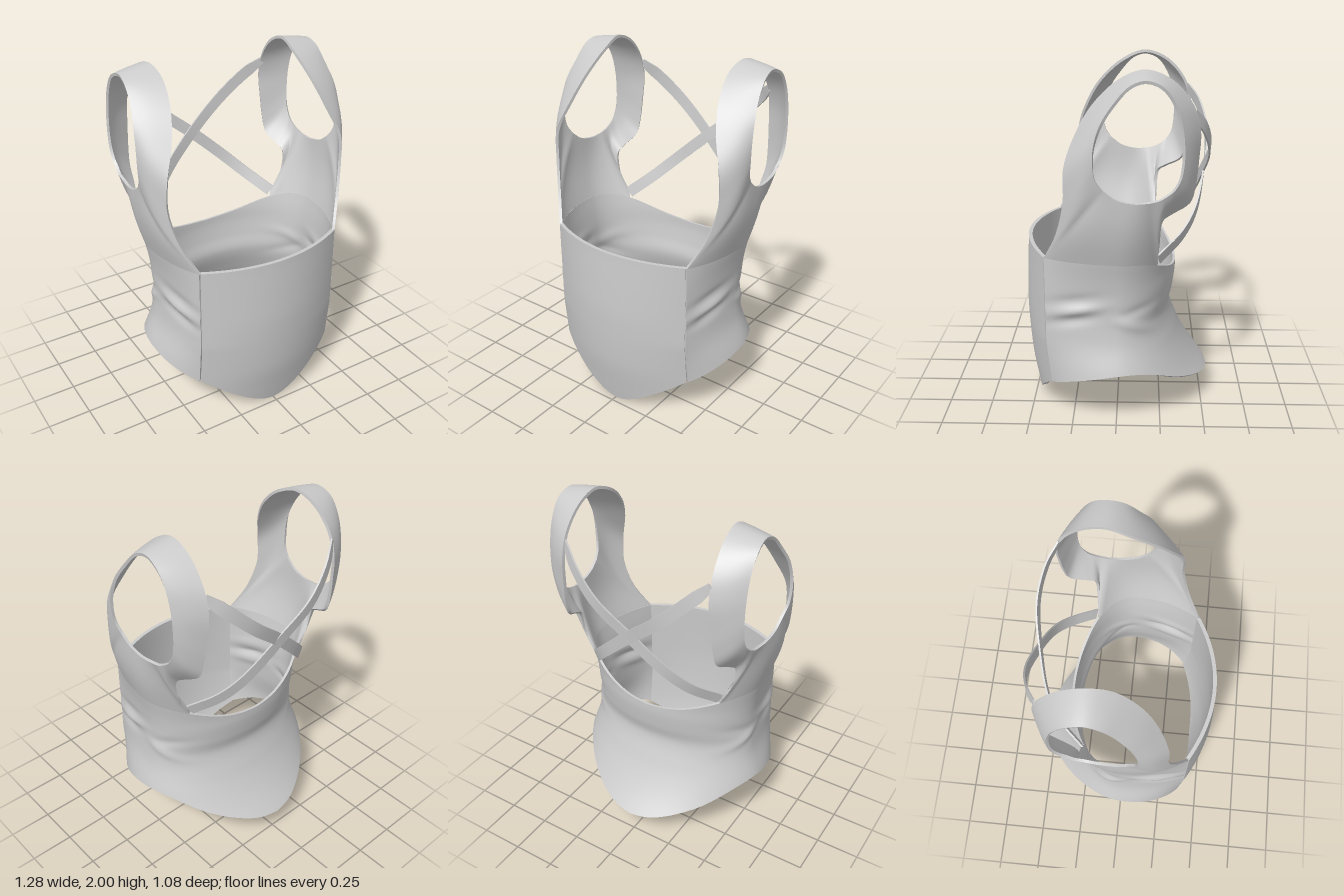
import * as THREE from 'three';
import { toCreasedNormals } from 'three/addons/utils/BufferGeometryUtils.js';

const V = (x, y, z) => new THREE.Vector3(x, y, z);
const material = new THREE.MeshStandardMaterial({ color: 0xcccccc, side: THREE.DoubleSide });

// Smooth function through [position, value] keys
function profile(keys) {
  const slope = (i) => {
    const a = keys[Math.max(i - 1, 0)], b = keys[Math.min(i + 1, keys.length - 1)];
    return (b[1] - a[1]) / (b[0] - a[0]);
  };
  return (p) => {
    p = THREE.MathUtils.clamp(p, keys[0][0], keys[keys.length - 1][0]);
    let i = 0;
    while (i < keys.length - 2 && p > keys[i + 1][0]) i++;
    const [x0, y0] = keys[i], [x1, y1] = keys[i + 1];
    const h = x1 - x0, t = (p - x0) / h, t2 = t * t, t3 = t2 * t;
    return y0 * (2 * t3 - 3 * t2 + 1) + y1 * (3 * t2 - 2 * t3)
      + h * (slope(i) * (t3 - 2 * t2 + t) + slope(i + 1) * (t3 - t2));
  };
}

// Cloth thickened inwards: rows run upwards, columns rightwards as seen from outside.
// The first row can be thicker than the rest, as a hem.
function cloth(name, rows, thickness, { closed = false, hem = thickness } = {}) {
  const nr = rows.length, nc = rows[0].length, n = nr * nc, cols = closed ? nc : nc - 1;
  const id = (j, i) => j * nc + (i % nc);
  const face = [], all = [];
  const quad = (list, a, b, c, d) => list.push(a, b, c, a, c, d);
  for (let j = 0; j < nr - 1; j++) for (let i = 0; i < cols; i++) {
    quad(face, id(j, i), id(j, i + 1), id(j + 1, i + 1), id(j + 1, i));
  }
  const outer = new THREE.BufferGeometry().setFromPoints(rows.flat());
  outer.setIndex(face);
  outer.computeVertexNormals();
  const normal = outer.getAttribute('normal');
  const inner = rows.flat().map((p, k) => {
    const depth = thickness + (hem - thickness) * (1 - Math.floor(k / nc) / nr) ** 8;
    return p.clone().addScaledVector(V().fromBufferAttribute(normal, k), -depth);
  });
  for (let k = 0; k < face.length; k += 3) {
    all.push(face[k], face[k + 1], face[k + 2], face[k] + n, face[k + 2] + n, face[k + 1] + n);
  }
  const rim = (a, b) => quad(all, a, a + n, b + n, b);
  for (let i = 0; i < cols; i++) {
    rim(id(0, i), id(0, i + 1));
    rim(id(nr - 1, i + 1), id(nr - 1, i));
  }
  if (!closed) for (let j = 0; j < nr - 1; j++) {
    rim(id(j + 1, 0), id(j, 0));
    rim(id(j, nc - 1), id(j + 1, nc - 1));
  }
  const geo = new THREE.BufferGeometry().setFromPoints([...rows.flat(), ...inner]);
  geo.setIndex(all);
  const mesh = new THREE.Mesh(toCreasedNormals(geo, 0.8), material);
  mesh.name = name;
  return mesh;
}

const mirrorRows = (rows) => rows.map((r) => r.map((p) => V(-p.x, p.y, p.z)).reverse());

// Torso outline: half width and back depth by height, hem and top edge by position round the body
const halfWidth = profile([[0.15, 0.62], [0.25, 0.61], [0.36, 0.585], [0.5, 0.54], [0.6, 0.525],
  [0.7, 0.52], [0.8, 0.523], [0.9, 0.535], [1, 0.555]]);
const backDepth = profile([[0.15, 0.537], [0.25, 0.462], [0.35, 0.4], [0.45, 0.352], [0.6, 0.303],
  [0.7, 0.32], [0.8, 0.333], [0.88, 0.335], [1, 0.35]]);
const hemEdge = profile([[0, 0.25], [0.15, 0.31], [0.33, 0.357], [0.45, 0.36], [0.57, 0.33],
  [0.75, 0.235], [0.9, 0.168], [1, 0.15]]);
const topEdge = profile([[0, 1], [0.3, 1], [0.5, 0.985], [0.633, 0.95], [0.8, 0.885], [0.9, 0.86], [1, 0.85]]);

// Folds at the waist: [z, y, spread z, spread y, height, slant]
const folds = [[0.22, 0.71, 0.13, 0.028, 0.018, -0.2], [0.24, 0.77, 0.13, 0.03, -0.01, -0.2],
  [0.24, 0.65, 0.12, 0.03, -0.014, -0.2], [-0.1, 0.62, 0.12, 0.03, 0.012, 0.45],
  [-0.12, 0.71, 0.1, 0.03, -0.01, -0.2]];

// Point on the left half: t from front seam (0) to back centre (1), v from hem to top
function torso(t, v) {
  const y = THREE.MathUtils.lerp(hemEdge(t), topEdge(t), v);
  const w = halfWidth(y), a0 = Math.acos(0.45 / w);
  const seamZ = y < 0.5 ? 0.39 - 0.1 * (0.5 - y) : 0.39;
  const a = t < 1 / 3 ? a0 * (1 - 3 * t) : -(t - 1 / 3) * 0.75 * Math.PI;
  const z = a > 0 ? seamZ * Math.sin(a) / Math.sin(a0) : backDepth(y) * Math.sin(a);
  let bump = 0;
  for (const [fz, fy, sz, sy, h, slant] of folds) {
    const dz = z - fz, dy = y - fy - slant * dz;
    bump += h * Math.exp(-((dz / sz) ** 2) - (dy / sy) ** 2);
  }
  return V((w + bump) * Math.cos(a), y, z);
}

function torsoRows() {
  const rows = [];
  for (let j = 0; j <= 44; j++) {
    const half = Array.from({ length: 31 }, (_, i) => torso(i / 30, j / 44));
    rows.push([...half, ...mirrorRows([half])[0].slice(1)]);
  }
  return rows;
}

// Side panel and shoulder strap: a ring between the outer edge and the armhole
function sideRows() {
  const back = torso(19 / 30, 1), front = torso(0, 1);
  // Pairs of outer edge and armhole points, up the back and down the front
  const pairs = [
    [back, V(0.605, 1.357, -0.17)],
    [V(0.49, 1.1, -0.23), V(0.605, 1.37, -0.22)],
    [V(0.51, 1.235, -0.245), V(0.6, 1.395, -0.265)],
    [V(0.5, 1.265, -0.285), V(0.6, 1.425, -0.3)],
    [V(0.475, 1.325, -0.385), V(0.6, 1.48, -0.33)],
    [V(0.465, 1.42, -0.412), V(0.6, 1.55, -0.343)],
    [V(0.455, 1.55, -0.425), V(0.6, 1.62, -0.345)],
    [V(0.445, 1.7, -0.43), V(0.6, 1.73, -0.335)],
    [V(0.44, 1.83, -0.39), V(0.6, 1.85, -0.3)],
    [V(0.43, 1.95, -0.285), V(0.6, 1.94, -0.235)],
    [V(0.42, 2, -0.15), V(0.595, 1.97, -0.15)],
    [V(0.41, 1.955, -0.02), V(0.6, 1.945, -0.07)],
    [V(0.44, 1.83, 0.12), V(0.61, 1.86, 0.01)],
    [V(0.49, 1.68, 0.21), V(0.63, 1.76, 0.075)],
    [V(0.55, 1.52, 0.265), V(0.64, 1.65, 0.108)],
    [V(0.56, 1.35, 0.27), V(0.64, 1.55, 0.112)],
    [V(0.52, 1.16, 0.315), V(0.632, 1.48, 0.1)],
    [front, V(0.622, 1.425, 0.065)],
  ];
  const sample = (pts, n) => new THREE.CatmullRomCurve3(pts, false, 'centripetal').getPoints(n);
  const under = Array.from({ length: 19 }, (_, i) => torso(i / 30, 1));
  const outer = [...under, ...sample(pairs.map((p) => p[0]), 85).slice(0, -1)];
  const inner = [
    ...sample([pairs[17][1], V(0.618, 1.378, 0), V(0.612, 1.355, -0.09), pairs[0][1]], 19).slice(0, -1),
    ...sample(pairs.map((p) => p[1]), 85).slice(0, -1)];
  return Array.from({ length: 15 }, (_, j) => outer.map((p, i) => {
    const q = p.clone().lerp(inner[i], j / 14);
    // Fuller below the front of the armhole
    const fromSeam = Math.min(i, outer.length - i);
    q.x += (0.012 + 0.024 * Math.exp(-((fromSeam / 7) ** 2))) * Math.sin(Math.PI * j / 14);
    return q;
  }));
}

// Front panel with a pointed, rounded hem
const panelDepth = profile([[0, 0.465], [0.1, 0.485], [0.3, 0.52], [0.6, 0.538], [0.8, 0.533], [1, 0.522]]);
function panelRows() {
  return Array.from({ length: 31 }, (_, j) => Array.from({ length: 41 }, (_, i) => {
    const x = 0.445 * (i / 20 - 1), r = (x / 0.445) ** 2;
    const low = 0.25 * (Math.sqrt(1 + (x / 0.12) ** 2) - 1) / 2.84;
    const y = THREE.MathUtils.lerp(low, 1.003 + 0.01 * (1 - r), j / 30);
    const side = y < 0.5 ? 0.395 - 0.1 * (0.5 - y) : 0.395;
    return V(x, y, THREE.MathUtils.lerp(panelDepth(y), side, r));
  }));
}

// Narrow strap from the left shoulder across the back to the right side
function backStrapRows(offset) {
  const path = new THREE.CatmullRomCurve3([V(0.447, 1.785, -0.402), V(0.35, 1.69, -0.465),
    V(0.2, 1.55, -0.505), V(0, 1.385, -0.482), V(-0.2, 1.2, -0.43), V(-0.31, 1.09, -0.355),
    V(-0.42, 0.985, -0.225)]);
  const rows = [[], []];
  for (let i = 0; i <= 40; i++) {
    const p = path.getPoint(i / 40), tangent = path.getTangent(i / 40);
    p.z += offset;
    const across = V(p.x * 0.9, 0, -1).normalize().cross(tangent).normalize();
    const half = 0.034 * Math.min(1, 0.6 + i / 10);
    rows[0].push(p.clone().addScaledVector(across, -half));
    rows[1].push(p.clone().addScaledVector(across, half));
  }
  return rows;
}

export function createModel() {
  const group = new THREE.Group();
  group.name = 'corsetTop';
  const side = sideRows();
  group.add(
    cloth('frontPanel', panelRows(), 0.022, { hem: 0.035 }),
    cloth('torso', torsoRows(), 0.014, { hem: 0.027 }),
    cloth('leftShoulder', side, 0.016, { closed: true }),
    cloth('rightShoulder', mirrorRows(side), 0.016, { closed: true }),
    cloth('leftBackStrap', backStrapRows(0), 0.01),
    cloth('rightBackStrap', mirrorRows(backStrapRows(-0.008)), 0.01),
  );
  return group;
}
